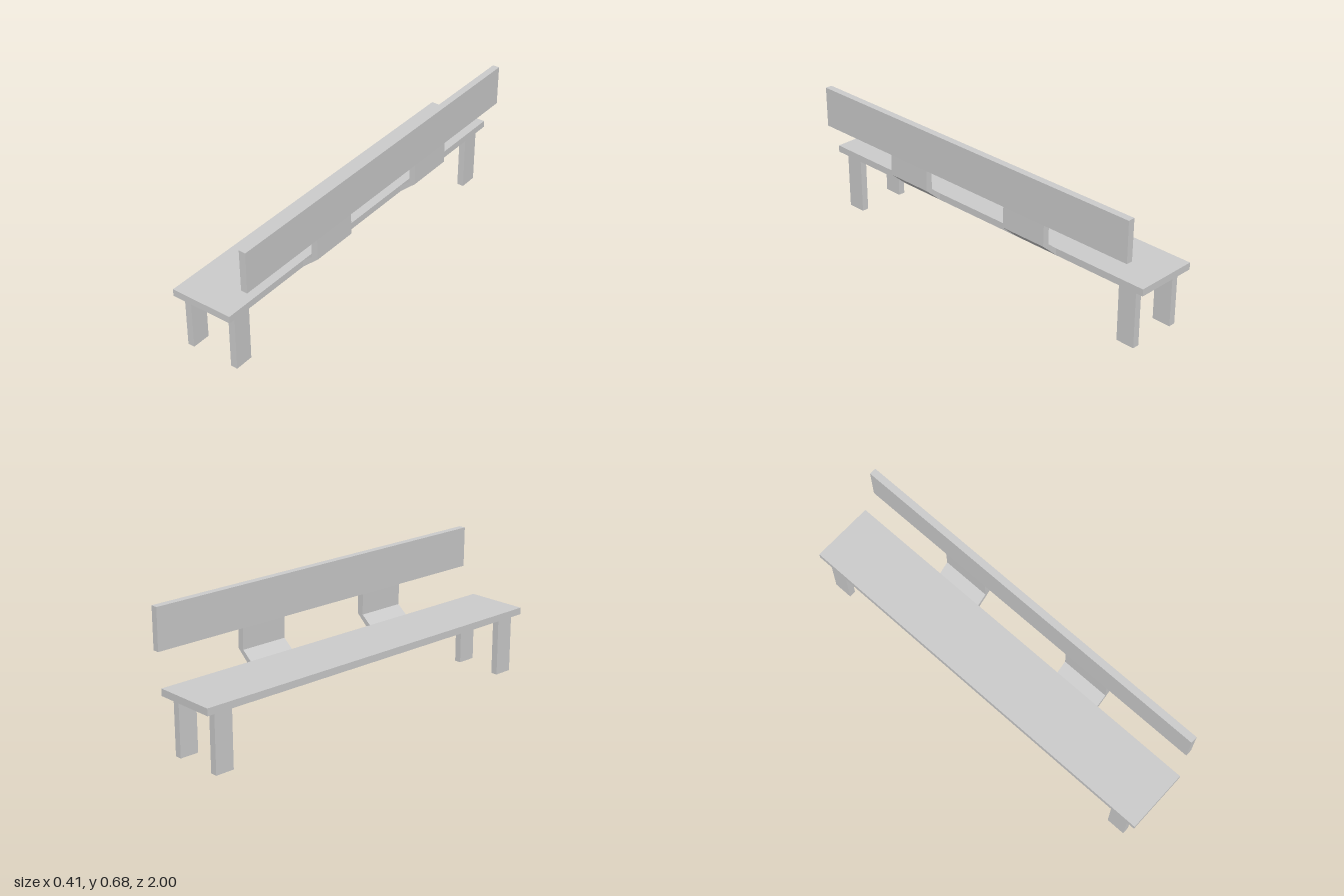
import * as THREE from 'three';

const material = new THREE.MeshStandardMaterial({ color: 0xcccccc, flatShading: true });

// Extrude an x-y outline along z between z0 and z1
function slab(name, outline, z0, z1) {
  const shape = new THREE.Shape(outline.map(([x, y]) => new THREE.Vector2(x, y)));
  const geometry = new THREE.ExtrudeGeometry(shape, { depth: z1 - z0, bevelEnabled: false });
  geometry.translate(0, 0, z0);
  const mesh = new THREE.Mesh(geometry, material);
  mesh.name = name;
  return mesh;
}

const rect = (x0, x1, y0, y1) => [[x0, y0], [x1, y0], [x1, y1], [x0, y1]];

export function createModel() {
  const bench = new THREE.Group();
  bench.name = 'bench';

  // Long seat plank
  bench.add(slab('seat', rect(-0.203, 0.117, 0.293, 0.328), -1, 1));

  // Backrest plank
  bench.add(slab('backrest', [[0.167, 0.475], [0.2, 0.475], [0.2, 0.68], [0.165, 0.68]], -0.973, 0.973));

  // Bent supports joining the seat edge to the backrest
  const bracket = [
    [0.117, 0.294], [0.202, 0.37], [0.2, 0.475],
    [0.167, 0.475], [0.169, 0.37], [0.117, 0.328],
  ];
  for (const [z0, z1] of [[0.252, 0.5], [-0.5, -0.252]]) {
    bench.add(slab('backSupport', bracket, z0, z1));
  }

  // Four legs
  for (const [x0, x1] of [[-0.185, -0.15], [0.065, 0.1]]) {
    for (const [z0, z1] of [[0.854, 0.95], [-0.95, -0.854]]) {
      bench.add(slab('leg', rect(x0, x1, 0, 0.293), z0, z1));
    }
  }
  return bench;
}
